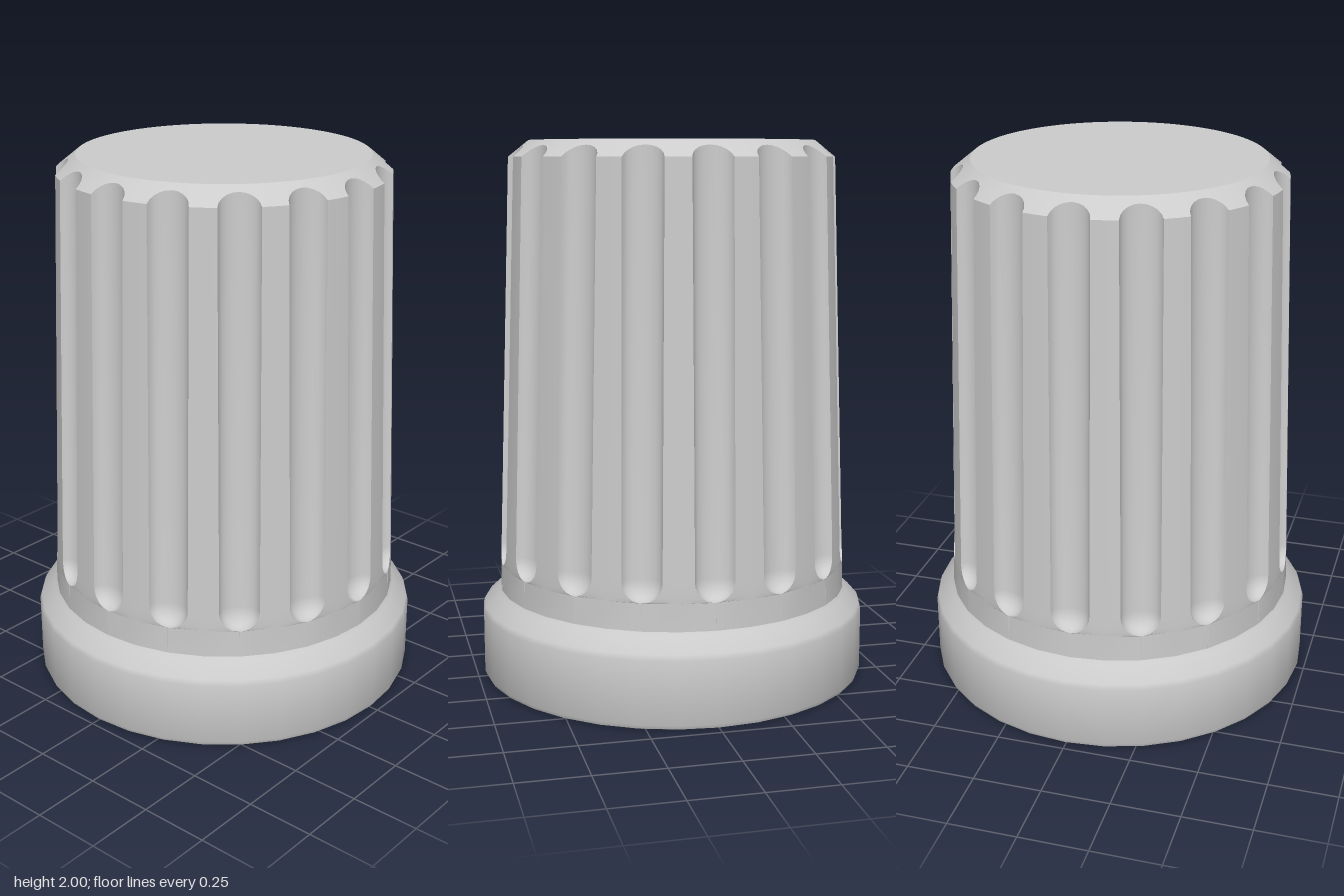
import * as THREE from 'three';
import { toCreasedNormals } from 'three/addons/utils/BufferGeometryUtils.js';

const FLUTES = 16, FLUTE_SEGS = 10, RIDGE_SEGS = 2;
const HALF_WIDTH = 0.072, DEPTH = 0.05, FLUTE_START = 0.43;
const TOP_R = 0.6, TOP_Y = 1.94, CAP_R = 0.525;

// drafted side wall radius
const wallRadius = (y) => THREE.MathUtils.mapLinear(y, 0.3, TOP_Y, 0.657, TOP_R);

// one horizontal position around the body: angle and groove depth for a groove opening w (0..1)
function column(k, w, r) {
  const per = FLUTE_SEGS + RIDGE_SEGS;
  const flute = Math.floor(k / per), s = k % per;
  const pitch = (Math.PI * 2) / FLUTES, half = (HALF_WIDTH / r) * w;
  const centre = flute * pitch;
  if (s <= FLUTE_SEGS) {
    const t = -Math.PI / 2 + (Math.PI * s) / FLUTE_SEGS;
    return { a: centre + half * Math.sin(t), d: DEPTH * w * Math.cos(t) };
  }
  const f = (s - FLUTE_SEGS) / RIDGE_SEGS;
  return { a: centre + half + f * (pitch - 2 * half), d: 0 };
}

// fluted grip with round-ended grooves that run out through the top chamfer
function flutedGrip() {
  const cols = FLUTES * (FLUTE_SEGS + RIDGE_SEGS);
  const rows = [(k) => ({ ...column(k, 0.02, 0.655), y: 0.3, d: 0 })];
  for (let i = 0; i <= 7; i++) {
    const t = (i / 7) * Math.PI / 2;
    const y = FLUTE_START + HALF_WIDTH * (1 - Math.cos(t));
    rows.push((k) => ({ ...column(k, Math.max(0.02, Math.sin(t)), wallRadius(y)), y }));
  }
  rows.push((k) => {
    const c = column(k, 1, TOP_R);
    return { ...c, y: TOP_Y + (c.d / (TOP_R - CAP_R)) * (2 - TOP_Y), r: TOP_R - c.d };
  });
  rows.push((k) => ({ ...column(k, 1, TOP_R), y: 2, r: CAP_R }));
  rows.push((k) => ({ ...column(k, 1, TOP_R), y: 2, r: 0 }));

  const pos = [], idx = [];
  rows.forEach((row, j) => {
    for (let k = 0; k < cols; k++) {
      const c = row(k), r = c.r ?? wallRadius(c.y) - c.d;
      pos.push(r * Math.sin(c.a), c.y, r * Math.cos(c.a));
      if (j === rows.length - 1) continue;
      const a = j * cols + k, b = j * cols + ((k + 1) % cols);
      idx.push(a, b, b + cols);
      if (j < rows.length - 2) idx.push(a, b + cols, a + cols);
    }
  });
  const g = new THREE.BufferGeometry();
  g.setAttribute('position', new THREE.Float32BufferAttribute(pos, 3));
  g.setIndex(idx);
  return g;
}

// turned surface from a list of [radius, height]
const lathe = (pts) =>
  new THREE.LatheGeometry(pts.map(([r, y]) => new THREE.Vector2(r, y)), 32);

export function createModel() {
  const group = new THREE.Group();
  group.name = 'knob';
  const material = new THREE.MeshStandardMaterial({ color: 0xcccccc });
  const add = (name, geometry) => {
    const mesh = new THREE.Mesh(toCreasedNormals(geometry, 0.6), material);
    mesh.name = name;
    group.add(mesh);
  };

  add('flutedGrip', flutedGrip());

  // flared skirt, outside and underside
  add('skirt', lathe([
    [0.553, 0], [0.705, 0], [0.719, 0.006], [0.725, 0.02],
    [0.725, 0.25], [0.718, 0.27], [0.665, 0.318], [0.65, 0.34],
  ]));

  // hollow interior with a stepped mouth
  add('bore', lathe([
    [0, 1.88], [0.46, 1.88], [0.505, 0.27], [0.553, 0.23], [0.553, 0],
  ]));

  return group;
}
